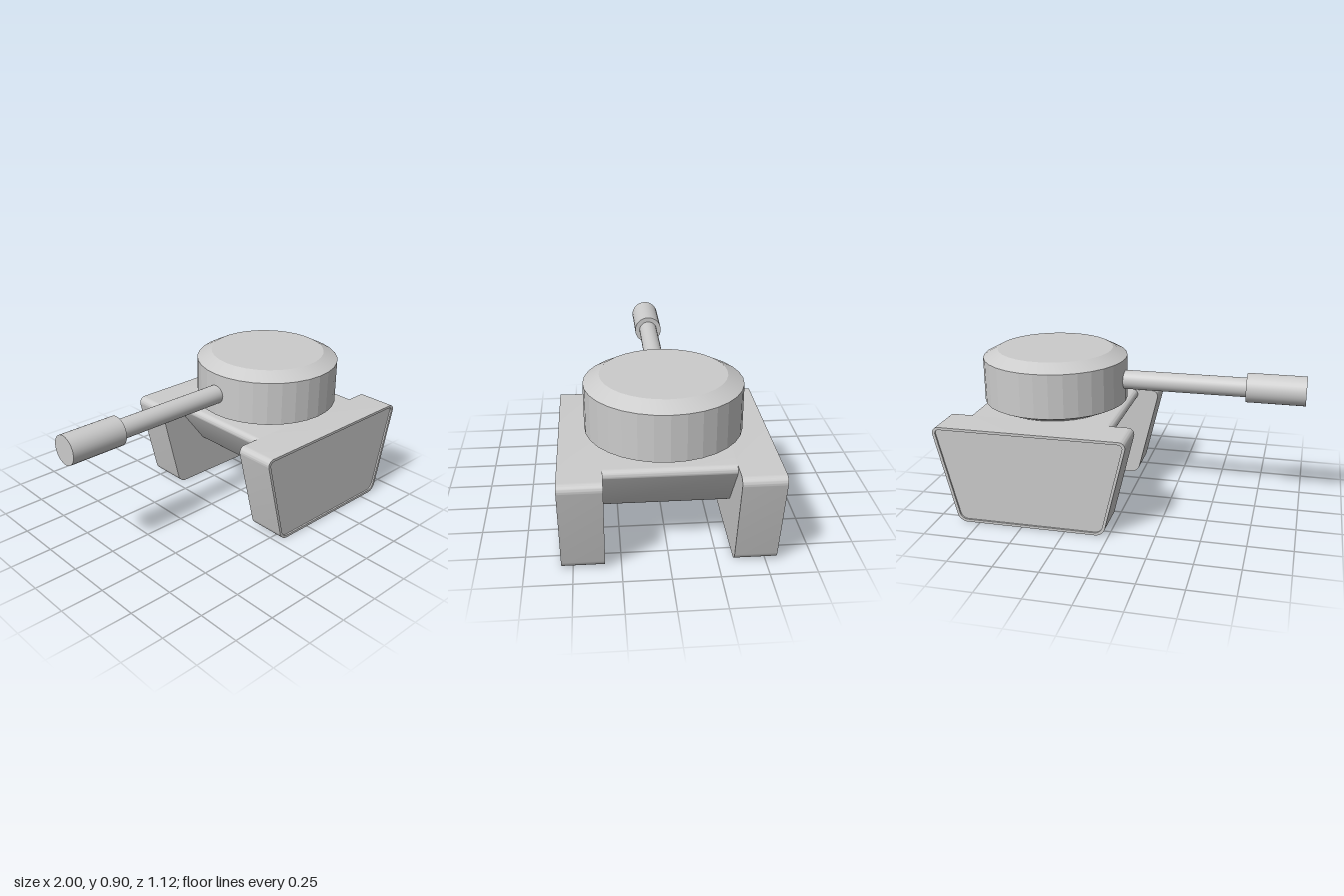
import * as THREE from 'three';
import { toCreasedNormals } from 'three/addons/utils/BufferGeometryUtils.js';

const material = new THREE.MeshStandardMaterial({ color: 0xcccccc });
const CX = 0.45; // centre line of the hull

// Symmetric trapezoid with circular rounded corners, traced counter-clockwise.
function roundedTrapezoid(Path, topHalf, bottomHalf, y0, y1, topR, bottomR) {
  const corners = [
    [CX - bottomHalf, y0, bottomR], [CX + bottomHalf, y0, bottomR],
    [CX + topHalf, y1, topR], [CX - topHalf, y1, topR],
  ];
  const path = new Path();
  corners.forEach(([x, y, r], i) => {
    const p = new THREE.Vector2(x, y);
    const [px, py] = corners[(i + 3) % 4];
    const [nx, ny] = corners[(i + 1) % 4];
    const a = new THREE.Vector2(px, py).sub(p).normalize();
    const b = new THREE.Vector2(nx, ny).sub(p).normalize();
    const half = Math.acos(a.dot(b)) / 2;
    const centre = a.clone().add(b).normalize().multiplyScalar(r / Math.sin(half)).add(p);
    const start = a.multiplyScalar(r / Math.tan(half)).add(p).sub(centre);
    const end = b.multiplyScalar(r / Math.tan(half)).add(p).sub(centre);
    path.absarc(centre.x, centre.y, r, start.angle(), end.angle(), false);
  });
  path.closePath();
  return path;
}

function extrude(shape, z0, z1) {
  const geo = new THREE.ExtrudeGeometry(shape, { depth: z1 - z0, bevelEnabled: false, curveSegments: 8 });
  geo.translate(0, 0, z0);
  return toCreasedNormals(geo, 0.5);
}

function add(parent, geometry, name) {
  const mesh = new THREE.Mesh(geometry, material);
  mesh.name = name;
  parent.add(mesh);
  return mesh;
}

// Track block with a thin raised rim around its outer face
function makeTrack(name) {
  const track = new THREE.Group();
  track.name = name;
  const outline = () => roundedTrapezoid(THREE.Shape, 0.555, 0.42, 0, 0.56, 0.035, 0.06);
  add(track, extrude(outline(), 0.335, 0.55), 'trackBlock');
  const rim = outline();
  rim.holes.push(roundedTrapezoid(THREE.Path, 0.535, 0.407, 0.015, 0.545, 0.022, 0.047));
  add(track, extrude(rim, 0.55, 0.56), 'trackRim');
  return track;
}

// Round bar lying along x
function makeBar(parent, name, radius, x0, x1) {
  const geo = new THREE.CylinderGeometry(radius, radius, x1 - x0, 32);
  geo.rotateZ(Math.PI / 2);
  add(parent, geo, name).position.set((x0 + x1) / 2, 0.73, 0);
}

export function createModel() {
  const model = new THREE.Group();
  model.name = 'tank';

  // Hull with steeply sloped ends between the tracks
  const hull = roundedTrapezoid(THREE.Shape, 0.45, 0.2, 0.23, 0.56, 0.03, 0.1);
  add(model, extrude(hull, -0.335, 0.335), 'hull');

  // Tracks, one on each side
  const frontTrack = makeTrack('frontTrack');
  const backTrack = makeTrack('backTrack');
  backTrack.rotation.y = Math.PI;
  backTrack.position.x = 2 * CX;
  model.add(frontTrack, backTrack);

  // Faceted turret with chamfered top and bottom
  const profile = [[0, 0.56], [0.335, 0.56], [0.42, 0.6], [0.42, 0.855], [0.335, 0.9], [0, 0.9]]
    .map(([r, y]) => new THREE.Vector2(r, y));
  const turret = toCreasedNormals(new THREE.LatheGeometry(profile, 32), 0.1);
  add(model, turret, 'turret').position.x = CX;

  // Gun
  makeBar(model, 'barrel', 0.055, -0.68, 0.1);
  makeBar(model, 'muzzle', 0.083, -1, -0.67);

  return model;
}
